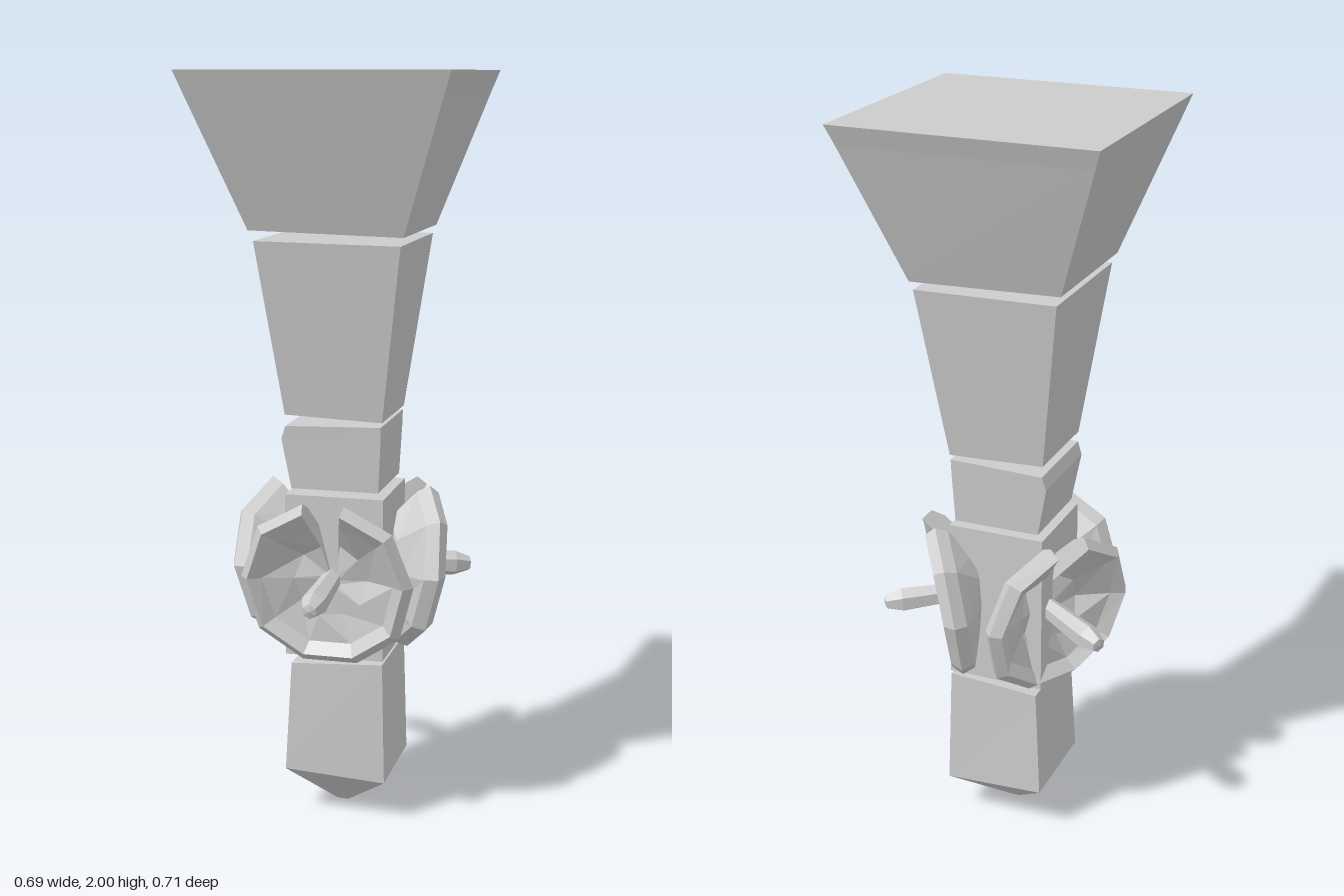
import * as THREE from 'three';

const material = new THREE.MeshStandardMaterial({ color: 0xcccccc, flatShading: true });

// Solid skin through a list of equal-length rings, with both ends capped
function loft(name, rings) {
  const pos = [];
  const tri = (a, b, c) => pos.push(...a, ...b, ...c);
  const n = rings[0].length;
  for (let i = 0; i < rings.length - 1; i++) {
    for (let j = 0; j < n; j++) {
      const k = (j + 1) % n;
      tri(rings[i][j], rings[i][k], rings[i + 1][k]);
      tri(rings[i][j], rings[i + 1][k], rings[i + 1][j]);
    }
  }
  const first = rings[0], last = rings[rings.length - 1];
  for (let j = 1; j < n - 1; j++) {
    tri(first[0], first[j + 1], first[j]);
    tri(last[0], last[j], last[j + 1]);
  }
  const geometry = new THREE.BufferGeometry();
  geometry.setAttribute('position', new THREE.Float32BufferAttribute(pos, 3));
  geometry.computeVertexNormals();
  const mesh = new THREE.Mesh(geometry, material);
  mesh.name = name;
  return mesh;
}

// Four-sided cross-section; yl and yr are the heights of its two sides
const section = (yl, yr, x0, x1, z0, z1) =>
  [[x0, yl, z1], [x1, yr, z1], [x1, yr, z0], [x0, yl, z0]];

// Faceted bowl with a wedge missing at the top, its rim leaning outwards above
function createFlower() {
  const flower = new THREE.Group();
  const segments = 9, gap = 0.24;
  const rings = [];
  for (let i = 0; i <= segments; i++) {
    const a = gap + (i / segments) * (2 * Math.PI - 2 * gap);
    const rim = 0.205 + 0.035 * Math.cos(a);
    const wave = i % 2 ? 0.012 : -0.006;
    // [share of radius, distance outwards]: back, rim, then the hollow
    const profile = [
      [0.08, 0.09], [0.6, 0.115], [0.93, rim - 0.05], [1, rim - 0.015],
      [0.9, rim + 0.012], [0.76, rim - 0.015], [0.42, 0.145 + wave], [0.08, 0.14],
    ];
    rings.push(profile.map(([f, z]) => [
      Math.sin(a) * 0.235 * f,
      THREE.MathUtils.clamp(Math.cos(a) * 0.245, -0.22, 0.225) * f,
      z,
    ]));
  }
  flower.add(loft('bowl', rings));

  // Blunt stalk standing out of the bowl, drooping slightly
  const stalk = new THREE.Mesh(new THREE.LatheGeometry(
    [[0, 0], [0.026, 0], [0.035, 0.2], [0.02, 0.245], [0, 0.25]]
      .map(([r, y]) => new THREE.Vector2(r, y)), 6), material);
  stalk.name = 'stalk';
  stalk.rotation.x = Math.PI / 2 + 0.1;
  stalk.position.set(0, 0.005, 0.115);
  flower.add(stalk);
  return flower;
}

export function createModel() {
  const model = new THREE.Group();
  model.name = 'column';

  // Stack of separate tapering blocks, with narrow gaps between them
  model.add(
    loft('pointedBase', [
      section(0, 0, -0.015, 0.015, -0.02, 0.005),
      section(0.125, 0.11, -0.132, 0.145, -0.155, 0.125),
      section(0.43, 0.445, -0.115, 0.137, -0.145, 0.12),
    ]),
    loft('flowerBlock', [
      section(0.455, 0.455, -0.13, 0.138, -0.145, 0.12),
      section(0.9, 0.9, -0.13, 0.138, -0.14, 0.12),
    ]),
    loft('collar', [
      section(0.915, 0.915, -0.115, 0.122, -0.135, 0.11),
      section(1.05, 1.05, -0.14, 0.129, -0.14, 0.117),
      section(1.085, 1.093, -0.128, 0.13, -0.142, 0.12),
    ]),
    loft('shaft', [
      section(1.115, 1.105, -0.13, 0.133, -0.14, 0.117),
      section(1.575, 1.57, -0.19, 0.195, -0.207, 0.187),
    ]),
    loft('capital', [
      section(1.602, 1.592, -0.203, 0.203, -0.213, 0.19),
      section(1.95, 1.95, -0.33, 0.328, -0.336, 0.31),
      section(2, 2, -0.348, 0.346, -0.355, 0.327),
    ]),
  );

  // Three flowers, evenly spaced around the block
  for (let i = 0; i < 3; i++) {
    const flower = createFlower();
    flower.name = 'flower' + (i + 1);
    flower.position.set(0, 0.675, -0.01);
    flower.rotation.y = (i * 2 * Math.PI) / 3;
    model.add(flower);
  }
  return model;
}
